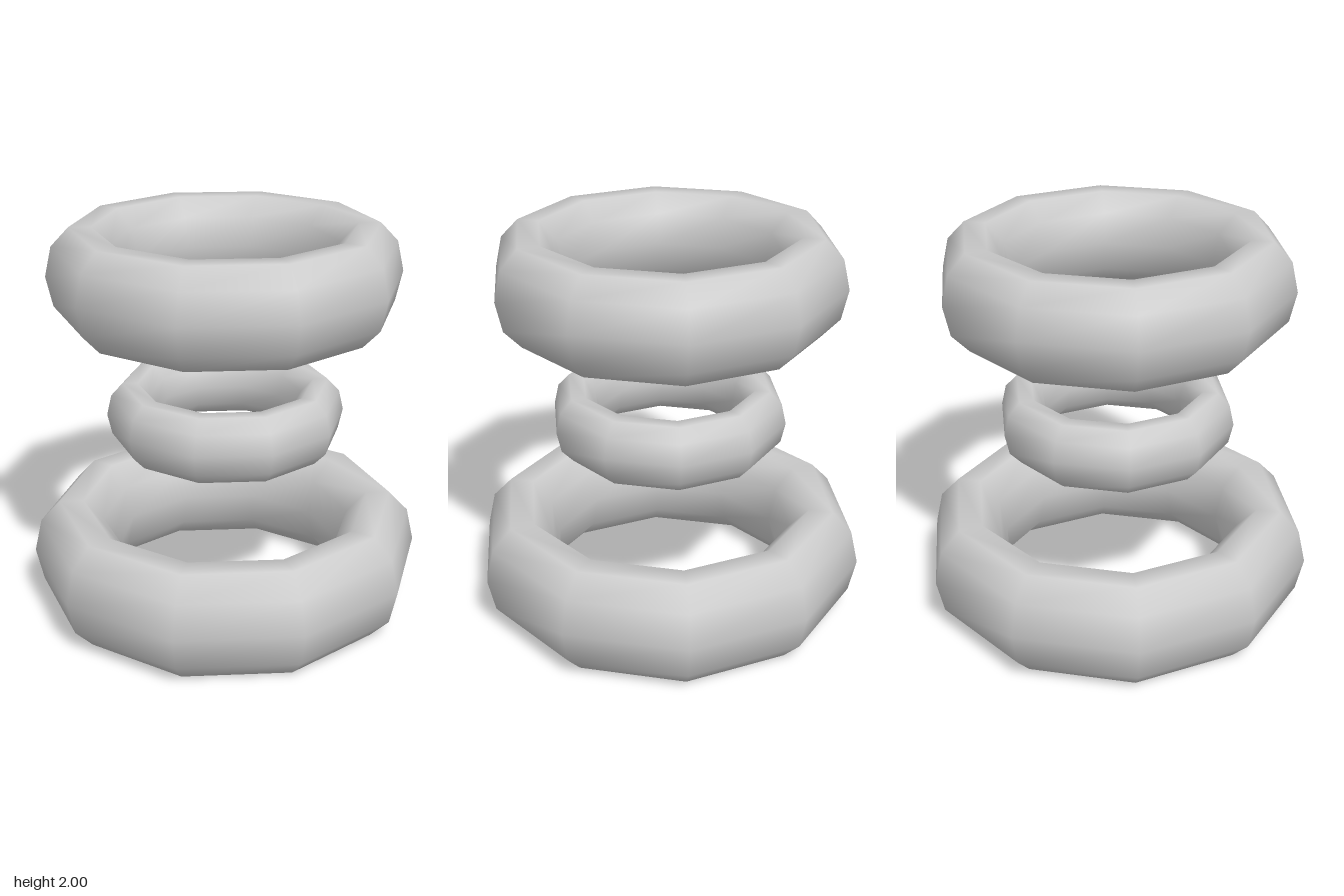
import * as THREE from 'three';

// Stacked ten-sided rings, all the same proportions: [name, ring radius, centre height]
const RINGS = [
  ['bottomRing', 0.8, 0.277],
  ['middleRing', 0.48, 1.032],
  ['topRing', 0.7, 1.758],
];
const STRETCH = 1.455; // tube is taller than it is wide

export function createModel() {
  const group = new THREE.Group();
  const material = new THREE.MeshStandardMaterial({ color: 0xcccccc });

  // Unit ring lying flat, with a ten-sided oval tube
  const geometry = new THREE.TorusGeometry(1, 0.25, 10, 10);
  geometry.rotateX(-Math.PI / 2);
  geometry.scale(1, STRETCH, 1);

  for (const [name, radius, y] of RINGS) {
    const ring = new THREE.Mesh(geometry, material);
    ring.name = name;
    ring.scale.setScalar(radius);
    ring.position.y = y;
    group.add(ring);
  }
  return group;
}
